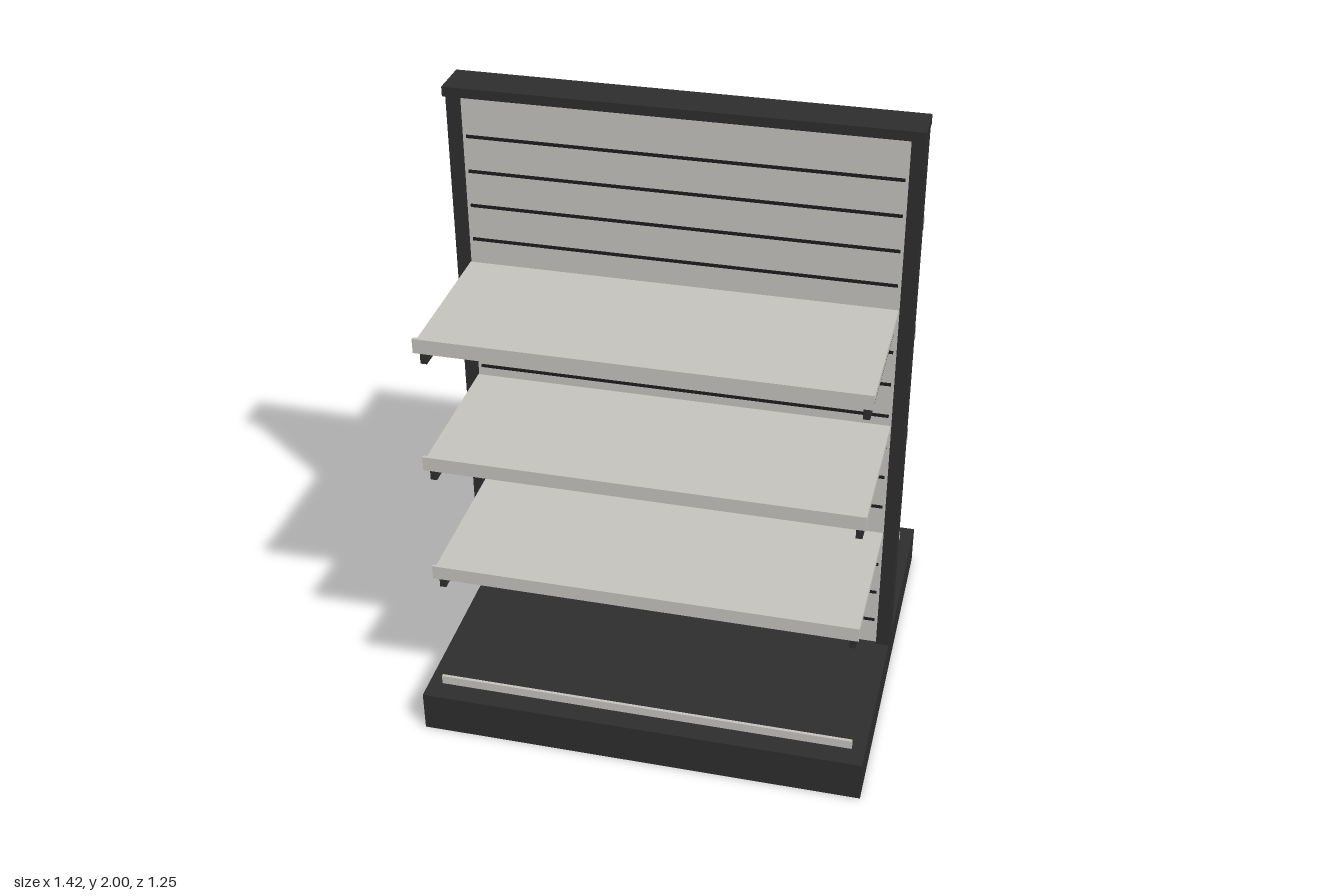
import * as THREE from 'three';

export function createModel() {
  const model = new THREE.Group();
  model.name = 'gondolaShelf';

  const mat = (name, color) => {
    const m = new THREE.MeshStandardMaterial({ color });
    m.name = name;
    return m;
  };
  const frame = mat('charcoal frame', 0x2d2d2d);
  const groove = mat('dark groove', 0x1c1c1c);
  const sheet = mat('warm grey sheet', 0xc4c2bc);

  // Box given by its min and max on each axis
  const box = (parent, name, material, [x0, x1], [y0, y1], [z0, z1]) => {
    const mesh = new THREE.Mesh(new THREE.BoxGeometry(x1 - x0, y1 - y0, z1 - z0), material);
    mesh.position.set((x0 + x1) / 2, (y0 + y1) / 2, (z0 + z1) / 2);
    mesh.name = name;
    parent.add(mesh);
  };

  // Frame: plinth, uprights, top cap and the back panel between them
  box(model, 'base', frame, [-0.712, 0.712], [0, 0.136], [-0.627, 0.627]);
  box(model, 'leftUpright', frame, [0.669, 0.712], [0.136, 1.97], [-0.04, 0.04]);
  box(model, 'rightUpright', frame, [-0.712, -0.669], [0.136, 1.97], [-0.04, 0.04]);
  box(model, 'topCap', frame, [-0.712, 0.712], [1.97, 2], [-0.067, 0.067]);
  box(model, 'backPanel', sheet, [-0.669, 0.669], [0.136, 1.97], [-0.03, 0.03]);

  // Each side carries the same grooves, shelves and base lip
  for (const side of ['front', 'back']) {
    const half = new THREE.Group();
    half.name = side + 'Side';
    if (side === 'back') half.rotation.y = Math.PI;
    model.add(half);

    // Slat grooves
    for (let i = 0; i < 15; i++) {
      const y = 0.229 + i * 0.1145;
      box(half, 'slatGroove', groove, [-0.658, 0.658], [y - 0.005, y + 0.005], [0.029, 0.033]);
    }

    // Shelves with a raised front lip and two brackets
    for (const top of [0.594, 1.003, 1.413]) {
      const shelf = new THREE.Group();
      shelf.name = 'shelf';
      half.add(shelf);
      box(shelf, 'shelfBoard', sheet, [-0.667, 0.667], [top - 0.023, top], [0.042, 0.549]);
      box(shelf, 'shelfLip', sheet, [-0.669, 0.669], [top - 0.029, top + 0.018], [0.549, 0.559]);
      for (const s of [-1, 1]) {
        const x = s * 0.648;
        box(shelf, 'shelfBracket', frame, [x - 0.01, x + 0.01], [top - 0.078, top - 0.023], [0.052, 0.534]);
      }
    }

    // Lip on the base deck
    box(half, 'baseLip', sheet, [-0.669, 0.669], [0.136, 0.166], [0.549, 0.559]);
  }
  return model;
}
